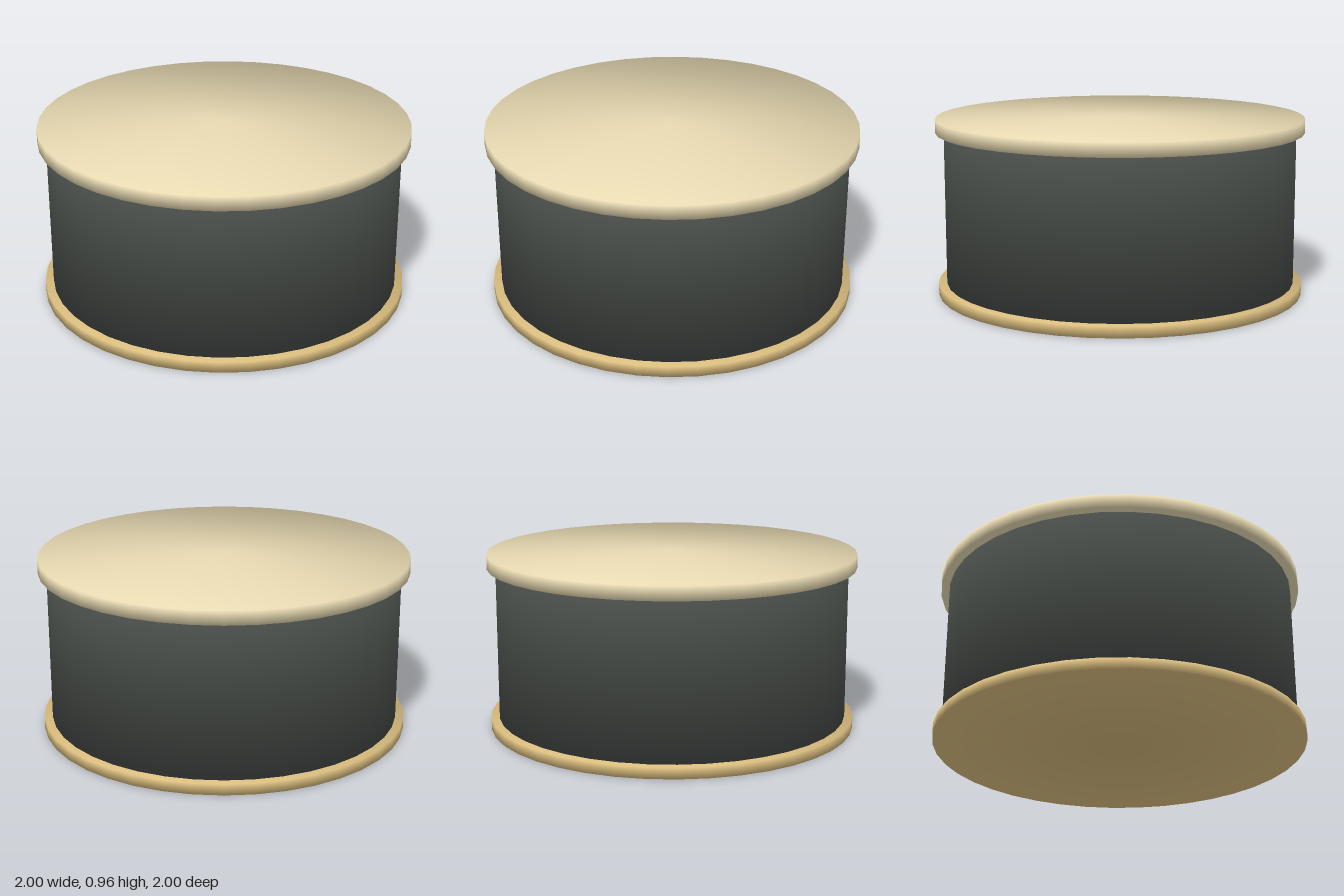
import * as THREE from 'three';
import { mergeVertices } from 'three/addons/utils/BufferGeometryUtils.js';

const SIDES = 40;

// Closed disc with shared rim vertices, shaded softly over its edges
function softDisc(name, radius, bottom, top, color) {
  const height = top - bottom;
  let geometry = new THREE.CylinderGeometry(radius, radius, height, SIDES);
  geometry.deleteAttribute('normal');
  geometry.deleteAttribute('uv');
  geometry = mergeVertices(geometry);

  // Rim normals point diagonally outwards, centre normals straight up or down
  const position = geometry.attributes.position;
  const normals = new Float32Array(position.count * 3);
  const n = new THREE.Vector3();
  for (let i = 0; i < position.count; i++) {
    n.set(position.getX(i) / radius, Math.sign(position.getY(i)), position.getZ(i) / radius);
    n.normalize().toArray(normals, i * 3);
  }
  geometry.setAttribute('normal', new THREE.BufferAttribute(normals, 3));

  const mesh = new THREE.Mesh(geometry, new THREE.MeshStandardMaterial({ color }));
  mesh.name = name;
  mesh.position.y = bottom + height / 2;
  return mesh;
}

export function createModel() {
  const group = new THREE.Group();
  group.name = 'roundDrum';
  group.add(
    softDisc('basePlate', 1, 0, 0.06, 0xd9bc7e),
    softDisc('drumBody', 0.955, 0.001, 0.9, 0x464b47),
    softDisc('topPlate', 1, 0.885, 0.96, 0xe8dab2)
  );
  return group;
}
